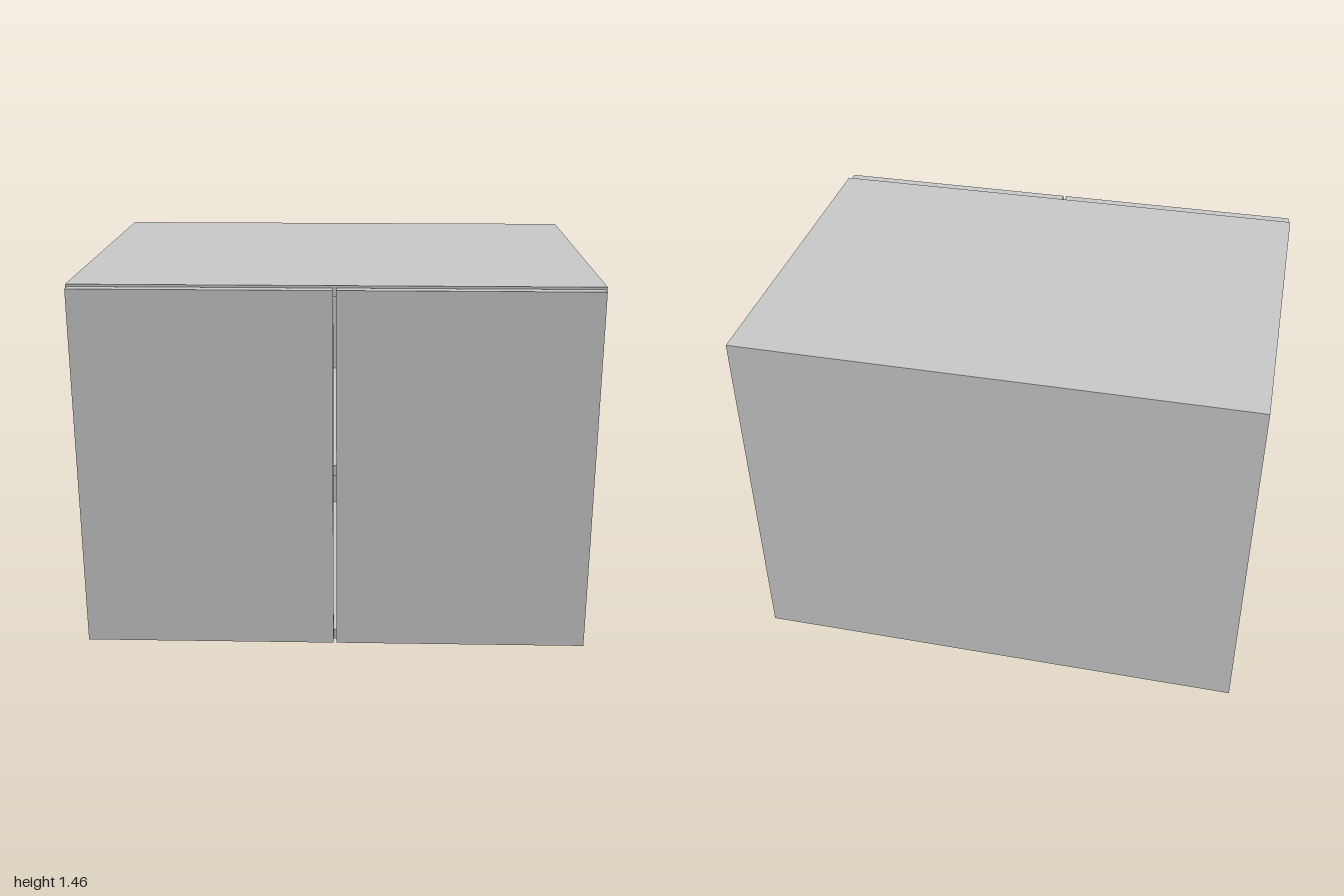
import * as THREE from 'three';

export function createModel() {
  const group = new THREE.Group();
  const material = new THREE.MeshStandardMaterial({ color: 0xcccccc, flatShading: true });

  const H = 1.455;              // overall height
  const T = 0.042;              // board thickness
  const BACK = -0.725, FRONT = 0.677; // carcass depth range

  // Board given by its min and max corners
  function board(name, [x0, y0, z0], [x1, y1, z1]) {
    const mesh = new THREE.Mesh(new THREE.BoxGeometry(x1 - x0, y1 - y0, z1 - z0), material);
    mesh.position.set((x0 + x1) / 2, (y0 + y1) / 2, (z0 + z1) / 2);
    mesh.name = name;
    group.add(mesh);
  }

  // Carcass: sides run full height, the other boards fit between them
  const inner = 1 - T;
  board('leftSide', [inner, 0, BACK], [1, H, FRONT]);
  board('rightSide', [-1, 0, BACK], [-inner, H, FRONT]);
  board('bottomPanel', [-inner, 0, BACK], [inner, T, FRONT]);
  board('topPanel', [-inner, H - T, BACK], [inner, H, FRONT]);
  board('backPanel', [-inner, T, BACK], [inner, H - T, BACK + T]);

  // Middle shelf
  board('shelf', [-inner, (H - T) / 2, BACK + T], [inner, (H + T) / 2, FRONT]);

  // Pair of doors with a narrow gap between them and behind them
  for (const [name, x0, x1] of [['leftDoor', 0.006, 0.992], ['rightDoor', -0.992, -0.006]]) {
    board(name, [x0, 0.008, 0.682], [x1, H - 0.008, 0.725]);
  }

  return group;
}
